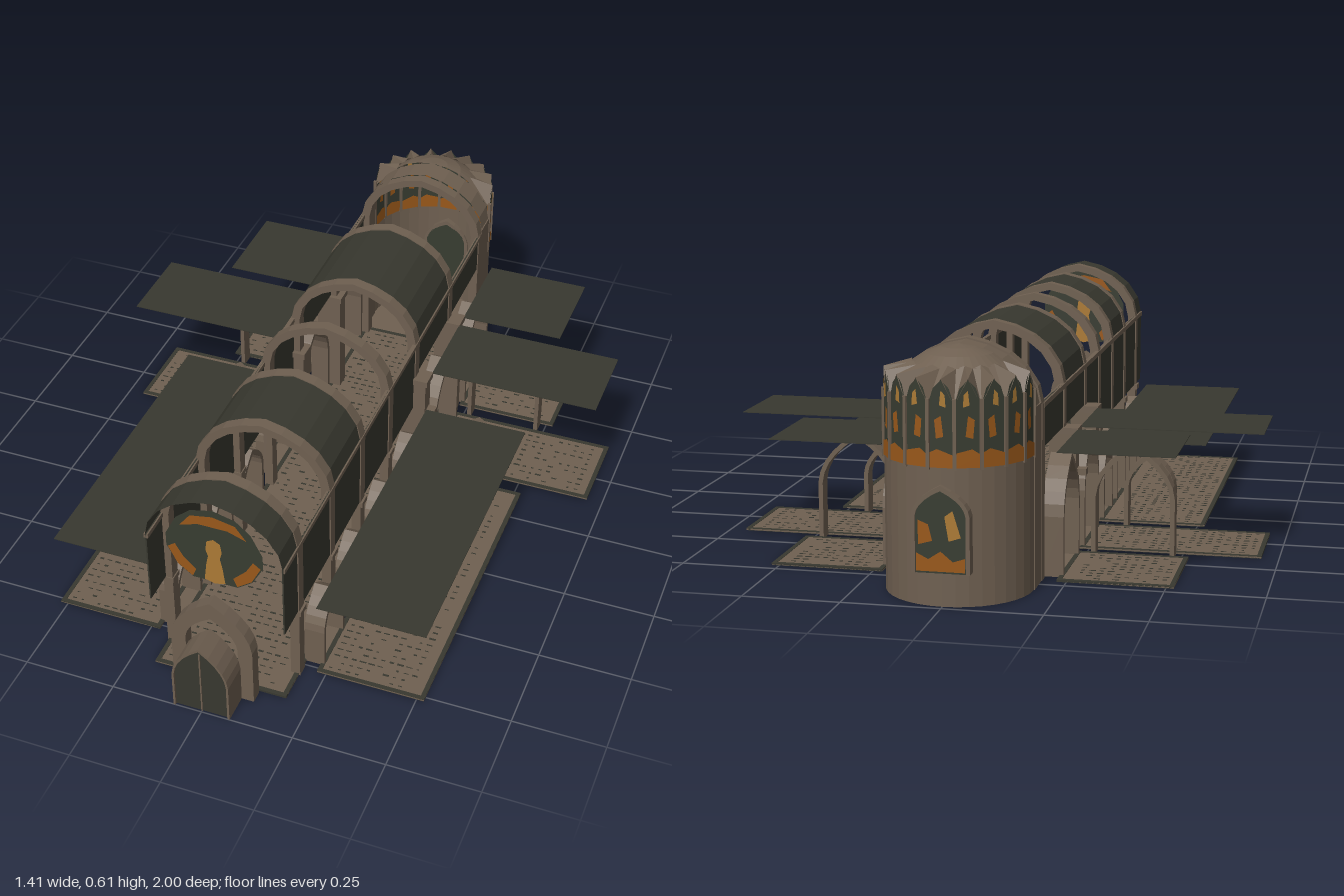
import * as THREE from 'three';
import { mergeGeometries } from 'three/addons/utils/BufferGeometryUtils.js';

const mat = (name, color) => {
  const m = new THREE.MeshStandardMaterial({ color, side: THREE.DoubleSide, flatShading: true });
  m.name = name;
  return m;
};

export function createModel() {
  const stone = mat('stone', 0x6f6051);
  const slate = mat('slate', 0x38382f);
  const glass = mat('dark glass', 0x383c31);
  const orange = mat('orange glass', 0x99581a);
  const gold = mat('gold glass', 0xab7a35);
  const root = new THREE.Group();

  const add = (name, geo, m, parent = root) => {
    const mesh = new THREE.Mesh(geo, m);
    mesh.name = name;
    parent.add(mesh);
    return mesh;
  };
  // box from its limits
  const boxGeo = (x0, x1, y0, y1, z0, z1) =>
    new THREE.BoxGeometry(Math.abs(x1 - x0), y1 - y0, z1 - z0)
      .translate((x0 + x1) / 2, (y0 + y1) / 2, (z0 + z1) / 2);
  const box = (name, m, ...d) => add(name, boxGeo(...d), m);
  // flat polygon in the xy plane
  const poly = (pts) => new THREE.ShapeGeometry(new THREE.Shape(pts.map(p => new THREE.Vector2(...p))));

  // pointed arch outline: half width, spring height, apex height
  const trace = (p, w, s, h) => {
    p.moveTo(-w, 0);
    p.lineTo(-w, s);
    p.quadraticCurveTo(-w * 0.95, s + (h - s) * 0.55, 0, h);
    p.quadraticCurveTo(w * 0.95, s + (h - s) * 0.55, w, s);
    p.lineTo(w, 0);
    return p;
  };
  const pointed = (w, s, h, depth) =>
    new THREE.ExtrudeGeometry(trace(new THREE.Shape(), w, s, h), { depth, bevelEnabled: false, curveSegments: 5 });
  const archRing = (w, s, h, t, depth) => {
    const a = trace(new THREE.Shape(), w, s, h).getPoints(5);
    const b = trace(new THREE.Path(), w - t, s, h - t * 1.3).getPoints(5);
    return new THREE.ExtrudeGeometry(new THREE.Shape([...a, ...b.reverse()]), { depth, bevelEnabled: false });
  };

  // floors: stone panel, dark border and scattered dark tiles
  let seed = 7;
  const rnd = () => (seed = (seed * 16807) % 2147483647) / 2147483647;
  const floor = (name, x0, x1, z0, z1) => {
    box(name, stone, x0, x1, 0.001, 0.005, z0, z1);
    const b = 0.012, marks = [
      boxGeo(x0, x1, 0, 0.006, z0, z0 + b), boxGeo(x0, x1, 0, 0.006, z1 - b, z1),
      boxGeo(x0, x0 + b, 0, 0.006, z0, z1), boxGeo(x1 - b, x1, 0, 0.006, z0, z1)];
    for (let x = x0 + 0.03; x < x1 - 0.03; x += 0.024)
      for (let z = z0 + 0.03; z < z1 - 0.02; z += 0.024) {
        if (rnd() < 0.3) continue;
        const w = 0.003 + rnd() * 0.006, l = 0.002 + rnd() * 0.004;
        marks.push(boxGeo(x - w, x + w, 0, 0.006, z - l / 2, z + l / 2));
      }
    add(name + 'Tiles', mergeGeometries(marks), slate);
  };
  floor('naveFloor', -0.185, 0.185, -0.72, 0.88);

  // side spaces: [inner x, outer x, back z, front z, roof height]
  const spaces = [
    ['aisle', 0.225, 0.52, -0.105, 0.765, 0.23],
    ['transept', 0.225, 0.705, -0.4, -0.15, 0.33],
    ['choirChapel', 0.225, 0.52, -0.72, -0.44, 0.33]];
  for (const [n, x0, x1, z0, z1, y] of spaces)
    for (const s of [1, -1]) {
      floor(n + 'Floor', s > 0 ? x0 : -x1, s > 0 ? x1 : -x0, z0, z1);
      box(n + 'Roof', slate, s * x0, s * x1, y - 0.001, y + 0.001, z0, z1);
    }

  // arcades along the nave: [centre z, half width, spring, apex]
  const arches = [0.66, 0.438, 0.218, -0.008].map(z => [z, 0.075, 0.115, 0.212])
    .concat([-0.275, -0.567].map(z => [z, 0.11, 0.155, 0.297]));
  for (const [z, w, s, h] of arches)
    for (const x of [0.18, -0.235]) {
      const g = archRing(w, s, h, 0.012, 0.055).rotateY(Math.PI / 2).translate(x, 0, z);
      add('arcadeArch', g, stone);
      box('threshold', stone, x, x + 0.055, 0.001, 0.004, z - w, z + w);
    }
  // arches across the aisles
  for (const x of [0.372, -0.372]) {
    add('aisleArch', archRing(0.07, 0.115, 0.212, 0.012, 0.045).translate(x, 0, -0.15), stone);
    add('chapelArch', archRing(0.11, 0.155, 0.297, 0.012, 0.04).translate(x, 0, -0.44), stone);
  }

  // upper walls and string courses
  for (const s of [1, -1]) {
    box('naveUpperWall', slate, s * 0.182, s * 0.186, 0.23, 0.45, -0.105, 0.88);
    box('choirUpperWall', slate, s * 0.182, s * 0.186, 0.335, 0.45, -0.7, -0.105);
    box('stringCourse', stone, s * 0.178, s * 0.19, 0.437, 0.45, -0.7, 0.88);
  }

  // vault profile
  const half = [[0.185, 0.45], [0.175, 0.495], [0.145, 0.54], [0.105, 0.572], [0.055, 0.595]];
  const profile = [...half, [0, 0.608], ...half.map(([x, y]) => [-x, y]).reverse()];
  const vaultGeo = (z0, z1) => {
    const p = [];
    for (let i = 0; i < profile.length - 1; i++) {
      const [a, b] = profile[i], [c, d] = profile[i + 1];
      p.push(a, b, z1, a, b, z0, c, d, z0, a, b, z1, c, d, z0, c, d, z1);
    }
    const g = new THREE.BufferGeometry();
    g.setAttribute('position', new THREE.Float32BufferAttribute(p, 3));
    g.computeVertexNormals();
    return g;
  };
  for (const [z0, z1] of [[0.79, 0.883], [0.34, 0.535], [-0.405, -0.14]])
    add('vault', vaultGeo(z0, z1), slate);

  // ribs with shafts
  const scaled = k => profile.map(([x, y]) => new THREE.Vector2(x * k, 0.45 + (y - 0.45) * k));
  const ribShape = new THREE.Shape([...scaled(1.015), ...scaled(0.88).reverse()]);
  for (const z of [0.775, 0.55, 0.325, 0.1, -0.122, -0.42, -0.705]) {
    add('vaultRib', new THREE.ExtrudeGeometry(ribShape, { depth: 0.032, bevelEnabled: false }).translate(0, 0, z - 0.016), stone);
    for (const s of [1, -1]) {
      box('shaft', stone, s * 0.163, s * 0.189, 0, 0.45, z - 0.016, z + 0.016);
      if (z > -0.1) {
        box('pierCapital', stone, s * 0.16, s * 0.195, 0.215, 0.23, z - 0.019, z + 0.019);
      } else if (z > -0.5) {
        box('crossingPier', stone, s * 0.15, s * 0.222, 0, 0.32, z - 0.022, z + 0.022);
        box('crossingCapital', stone, s * 0.145, s * 0.228, 0.318, 0.335, z - 0.028, z + 0.028);
        box('pierBracket', stone, s * 0.22, s * 0.247, 0.208, 0.225, z - 0.015, z + 0.015);
      }
    }
  }

  // front window: dark octagonal glass with coloured pieces on both faces
  const front = new THREE.Group();
  front.name = 'frontWindow';
  front.position.z = 0.876;
  root.add(front);
  add('windowPane', poly([[-0.06, 0.345], [0.06, 0.345], [0.1, 0.375], [0.13, 0.43], [0.13, 0.47], [0.1, 0.53],
    [0.06, 0.565], [0, 0.58], [-0.06, 0.565], [-0.1, 0.53], [-0.13, 0.47], [-0.13, 0.43], [-0.1, 0.375]]), glass, front);
  const figure = [[-0.028, 0.35], [0, 0.342], [0.028, 0.35], [0.022, 0.4], [0.016, 0.43], [0.022, 0.45], [0.018, 0.478],
    [0, 0.488], [-0.018, 0.478], [-0.022, 0.45], [-0.016, 0.43], [-0.022, 0.4]];
  const band = [[-0.09, 0.51], [-0.04, 0.528], [0.04, 0.528], [0.09, 0.51], [0.06, 0.55], [0, 0.562], [-0.06, 0.55]];
  const corner = s => [[s * 0.06, 0.35], [s * 0.1, 0.38], [s * 0.125, 0.43], [s * 0.105, 0.445], [s * 0.085, 0.41], [s * 0.05, 0.375]];
  for (const z of [0.003, -0.003]) {
    add('goldFigure', poly(figure).translate(0, 0, z), gold, front);
    add('orangeBand', poly(band).translate(0, 0, z), orange, front);
    for (const s of [1, -1]) add('orangeCorner', poly(corner(s)).translate(0, 0, z), orange, front);
  }

  // porch and doors
  add('porchOuterArch', archRing(0.112, 0.17, 0.308, 0.04, 0.035).translate(0, 0, 0.885), stone);
  add('porchInnerArch', archRing(0.078, 0.11, 0.222, 0.006, 0.08).translate(0, 0, 0.92), stone);
  add('doors', pointed(0.073, 0.11, 0.215, 0.008).translate(0, 0, 0.985), slate);
  box('doorSeam', stone, -0.002, 0.002, 0, 0.2, 0.99, 0.996);

  // apse: straight bay, half-round wall, floor
  const R = 0.185, CZ = -0.8, N = 9;
  for (const s of [1, -1]) box('apseBayWall', stone, s * 0.181, s * 0.187, 0, 0.455, CZ, -0.69);
  add('apseBayVault', vaultGeo(-0.8, -0.73), stone);
  add('apseWall', new THREE.CylinderGeometry(R, R, 0.34, 18, 1, true, Math.PI / 2, Math.PI).translate(0, 0.17, CZ), stone);
  add('apseFloor', new THREE.CircleGeometry(R, 18, 0, Math.PI).rotateX(-Math.PI / 2).translate(0, 0.003, CZ), stone);
  box('apseBayFloor', stone, -R, R, 0.001, 0.005, CZ, -0.72);

  // apse windows with pointed heads, separated by shafts
  const step = Math.PI / N, hw = R * Math.sin(step / 2), rp = R * Math.cos(step / 2);
  for (let i = 0; i < N; i++) {
    const win = new THREE.Group();
    win.name = 'apseWindow';
    const a = Math.PI / 2 + (i + 0.5) * step;
    win.position.set(Math.sin(a) * rp, 0.34, CZ + Math.cos(a) * rp);
    win.rotation.y = a;
    root.add(win);
    add('pane', poly([[-hw, 0], [hw, 0], [hw, 0.15], [hw * 0.6, 0.19], [0, 0.21], [-hw * 0.6, 0.19], [-hw, 0.15]]), glass, win);
    const m = i % 2 ? 1 : -1;
    for (const z of [0.003, -0.003]) {
      add('lowerPieces', poly([[-hw, 0], [hw, 0], [hw, 0.03], [m * 0.01, 0.045], [-hw, 0.035]]).translate(0, 0, z), orange, win);
      add('middlePiece', poly([[-0.006, 0.075], [0.012, 0.07], [0.016, 0.115], [0, 0.125]].map(([x, y]) => [m * x, y])).translate(0, 0, z), orange, win);
      add('upperPiece', poly([[-0.012, 0.145], [0.004, 0.15], [0, 0.185], [-0.01, 0.175]].map(([x, y]) => [m * x, y])).translate(0, 0, z), gold, win);
    }
  }
  for (let i = 0; i <= N; i++) {
    const a = Math.PI / 2 + i * step;
    add('windowShaft', new THREE.BoxGeometry(0.009, 0.17, 0.01).rotateY(a)
      .translate(Math.sin(a) * R, 0.42, CZ + Math.cos(a) * R), stone);
  }

  // folded apse roof: ridges over the windows, valleys over the shafts
  const folds = [];
  const at = (k, r, ridge, valley) => {
    const a = Math.PI / 2 + (k * step) / 2;
    return [Math.sin(a) * r, k % 2 ? ridge : valley, CZ + Math.cos(a) * r];
  };
  for (let k = 0; k < 2 * N; k++) {
    const a = at(k, R, 0.552, 0.49), b = at(k + 1, R, 0.552, 0.49);
    const c = at(k, 0.115, 0.572, 0.565), d = at(k + 1, 0.115, 0.572, 0.565);
    folds.push(...a, ...b, ...d, ...a, ...d, ...c);
  }
  const foldGeo = new THREE.BufferGeometry();
  foldGeo.setAttribute('position', new THREE.Float32BufferAttribute(folds, 3));
  foldGeo.computeVertexNormals();
  add('apseFoldedRoof', foldGeo, stone);
  const dome = [[0.118, 0.565], [0.085, 0.588], [0.045, 0.602], [0, 0.608]].map(p => new THREE.Vector2(...p));
  add('apseDome', new THREE.LatheGeometry(dome, 18, Math.PI / 2, Math.PI).translate(0, 0, CZ), stone);

  // low window on the back of the apse
  const back = new THREE.Group();
  back.name = 'backWindow';
  back.position.set(0, 0.085, -0.998);
  root.add(back);
  add('backFrame', archRing(0.072, 0.14, 0.215, 0.01, 0.035).translate(0, 0, -0.002), stone, back);
  add('backPane', pointed(0.064, 0.14, 0.205, 0.03).translate(0, 0, 0.003), glass, back);
  add('backOrange', poly([[-0.06, 0.005], [0.06, 0.005], [0.06, 0.05], [0.03, 0.035], [0, 0.055], [-0.03, 0.03], [-0.06, 0.04]]), orange, back);
  add('backOrangeSide', poly([[0.02, 0.08], [0.055, 0.07], [0.055, 0.13], [0.03, 0.12]]), orange, back);
  add('backGold', poly([[-0.05, 0.09], [-0.02, 0.08], [-0.01, 0.14], [-0.03, 0.155]]), gold, back);
  return root;
}
